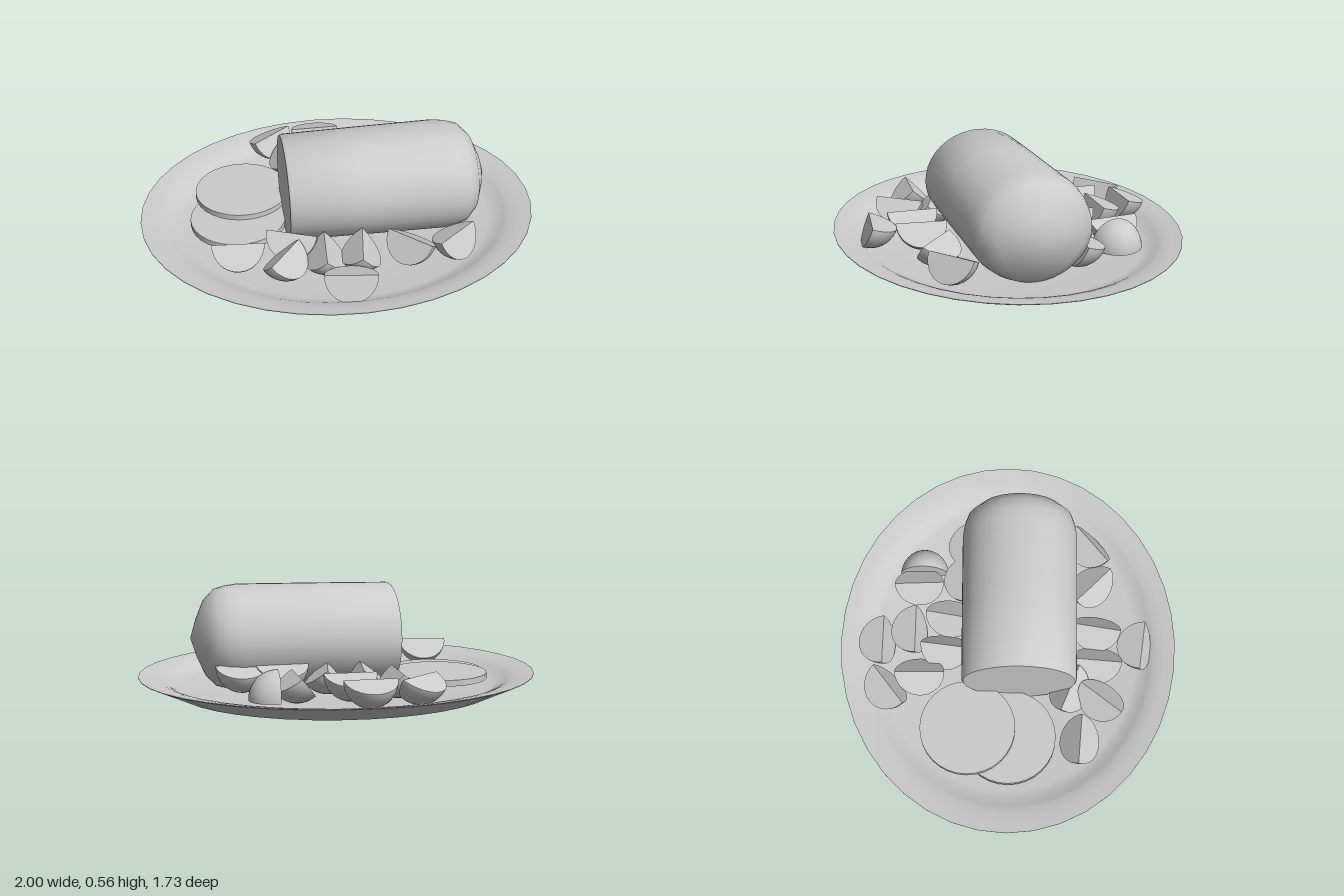
import * as THREE from 'three';
import { mergeGeometries, toCreasedNormals } from 'three/addons/utils/BufferGeometryUtils.js';

const material = new THREE.MeshStandardMaterial({ color: 0xcccccc });

function addMesh(parent, name, geometry) {
  const mesh = new THREE.Mesh(geometry, material);
  mesh.name = name;
  parent.add(mesh);
  return mesh;
}

function lathe(profile, segments) {
  return new THREE.LatheGeometry(profile.map(([r, y]) => new THREE.Vector2(r, y)), segments);
}

// Potato wedge: a sector of an ellipsoid, ridge along x, skin facing down.
function wedgeGeometry(halfLength, radius, angle) {
  const start = (Math.PI - angle) / 2, end = (Math.PI + angle) / 2;
  const skin = new THREE.SphereGeometry(1, 10, 16, start, angle);
  const cutA = new THREE.CircleGeometry(1, 16, -Math.PI / 2, Math.PI).rotateY(Math.PI + start);
  const cutB = new THREE.CircleGeometry(1, 16, Math.PI / 2, Math.PI).rotateY(end);
  return mergeGeometries([skin, cutA, cutB])
    .scale(radius, halfLength, radius)
    .rotateZ(-Math.PI / 2)
    .rotateX(Math.PI / 2);
}

export function createModel() {
  const model = new THREE.Group();
  model.name = 'roastPlatter';

  // Oval platter: underside, thin rim, then the sunken floor
  const plate = lathe([
    [0, 0], [0.4, 0.01], [0.77, 0.025], [0.81, 0.032], [0.87, 0.06], [1, 0.118],
    [1, 0.121], [0.94, 0.112], [0.89, 0.102], [0.86, 0.09], [0.82, 0.068], [0.78, 0.06], [0, 0.06],
  ], 40);
  addMesh(model, 'platter', toCreasedNormals(plate, 0.6)).scale.z = 0.865;

  // Roast lying along x: flat carved end at -x, blunt rounded end at +x
  const roast = lathe([
    [0, -0.28], [0.94, -0.28], [0.965, -0.27], [0.985, 0.1], [1, 0.5], [0.97, 0.56],
    [0.91, 0.615], [0.72, 0.665], [0.38, 0.705], [0, 0.737],
  ], 40);
  roast.rotateZ(-Math.PI / 2).scale(1, 0.265, 0.297);
  addMesh(model, 'roast', toCreasedNormals(roast, 0.9)).position.set(0, 0.3, 0.058);

  // Two overlapping carved slices
  [[-0.51, 0.095, 0.005], [-0.47, 0.123, -0.2]].forEach(([x, y, z]) => {
    addMesh(model, 'carvedSlice', new THREE.CylinderGeometry(0.241, 0.241, 0.03, 32))
      .position.set(x, y, z);
  });

  // Potato wedges: ridge from (x1, z1) to (x2, z2), roll about the ridge, ridge height
  const wedges = [
    [-0.36, -0.53, -0.17, -0.68, 0.3],
    [-0.15, -0.64, 0.1, -0.64, 0.42],
    [-0.09, -0.475, 0.16, -0.475, 0.42],
    [-0.2, -0.575, -0.2, -0.32, 0],
    [-0.04, -0.44, -0.07, -0.2, -0.15],
    [0.13, -0.42, 0.09, -0.18, 0.1],
    [0.28, -0.59, 0.29, -0.34, 0.15],
    [0.375, -0.57, 0.375, -0.32, 2.35, 0.09],
    [0.2, -0.21, 0.43, -0.21, 0.42],
    [0.39, -0.19, 0.63, -0.19, 0.42],
    [-0.665, 0.355, -0.415, 0.375, 0],
    [-0.38, 0.275, -0.17, 0.36, 0],
    [-0.4, 0.57, -0.25, 0.375, 0],
    [-0.14, 0.58, -0.12, 0.33, 0],
    [0.03, 0.58, 0.07, 0.33, 0.1],
    [-0.17, 0.67, 0.08, 0.705, 0.42],
    [0.2, 0.36, 0.37, 0.53, 0.2],
    [0.42, 0.52, 0.62, 0.36, 0.3],
  ];
  const geometry = wedgeGeometry(0.127, 0.135, 1.65);
  wedges.forEach(([x1, z1, x2, z2, roll, height = 0.203]) => {
    const wedge = addMesh(model, 'potatoWedge', geometry);
    wedge.position.set((x1 + x2) / 2, height, (z1 + z2) / 2);
    wedge.rotation.set(roll, Math.atan2(z1 - z2, x2 - x1), 0, 'YXZ');
  });

  return model;
}
